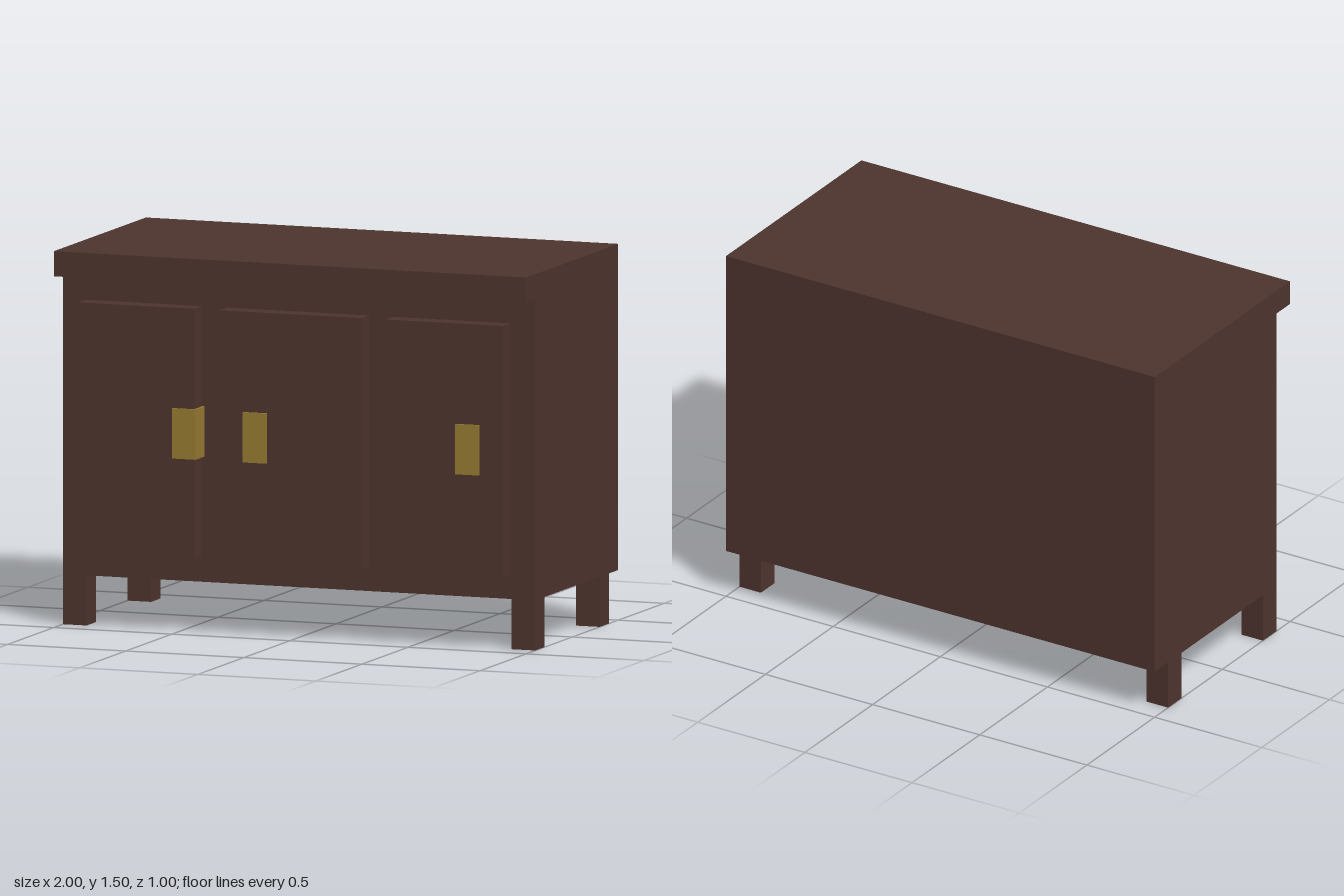
import * as THREE from 'three';

export function createModel() {
  const model = new THREE.Group();
  model.name = 'sideboard';

  const wood = new THREE.MeshStandardMaterial({ color: 0x4e342e });
  wood.name = 'dark brown wood';
  const brass = new THREE.MeshStandardMaterial({ color: 0x967a32 });
  brass.name = 'dull brass';

  // Box given by its extents along each axis
  function addBox(name, material, [x0, x1], [y0, y1], [z0, z1]) {
    const mesh = new THREE.Mesh(new THREE.BoxGeometry(x1 - x0, y1 - y0, z1 - z0), material);
    mesh.position.set((x0 + x1) / 2, (y0 + y1) / 2, (z0 + z1) / 2);
    mesh.name = name;
    model.add(mesh);
  }

  // Cabinet body and the top overhanging the front
  addBox('body', wood, [-1, 1], [0.2, 1.4], [-0.5, 0.4]);
  addBox('top', wood, [-1, 1], [1.4, 1.5], [-0.5, 0.5]);

  // Four short square legs, the back pair set in
  for (const [side, x] of [['right', -1], ['left', 0.9]]) {
    for (const [end, z] of [['front', 0.3], ['back', -0.4]]) {
      addBox(`${end} ${side} leg`, wood, [x, x + 0.1], [0, 0.2], [z, z + 0.1]);
    }
  }

  // Three doors held just off the body, each with a handle block through it
  const doors = [
    { place: 'right', span: [-0.9, -0.41], handle: -0.5 },
    { place: 'middle', span: [-0.3, 0.3], handle: -0.2 },
    { place: 'left', span: [0.4, 0.9], handle: 0.7 },
  ];
  for (const { place, span, handle } of doors) {
    addBox(`${place} door`, wood, span, [0.3, 1.3], [0.41, 0.49]);
    addBox(`${place} handle`, brass, [handle, handle + 0.1], [0.7, 0.9], [0.4, 0.5]);
  }

  return model;
}
